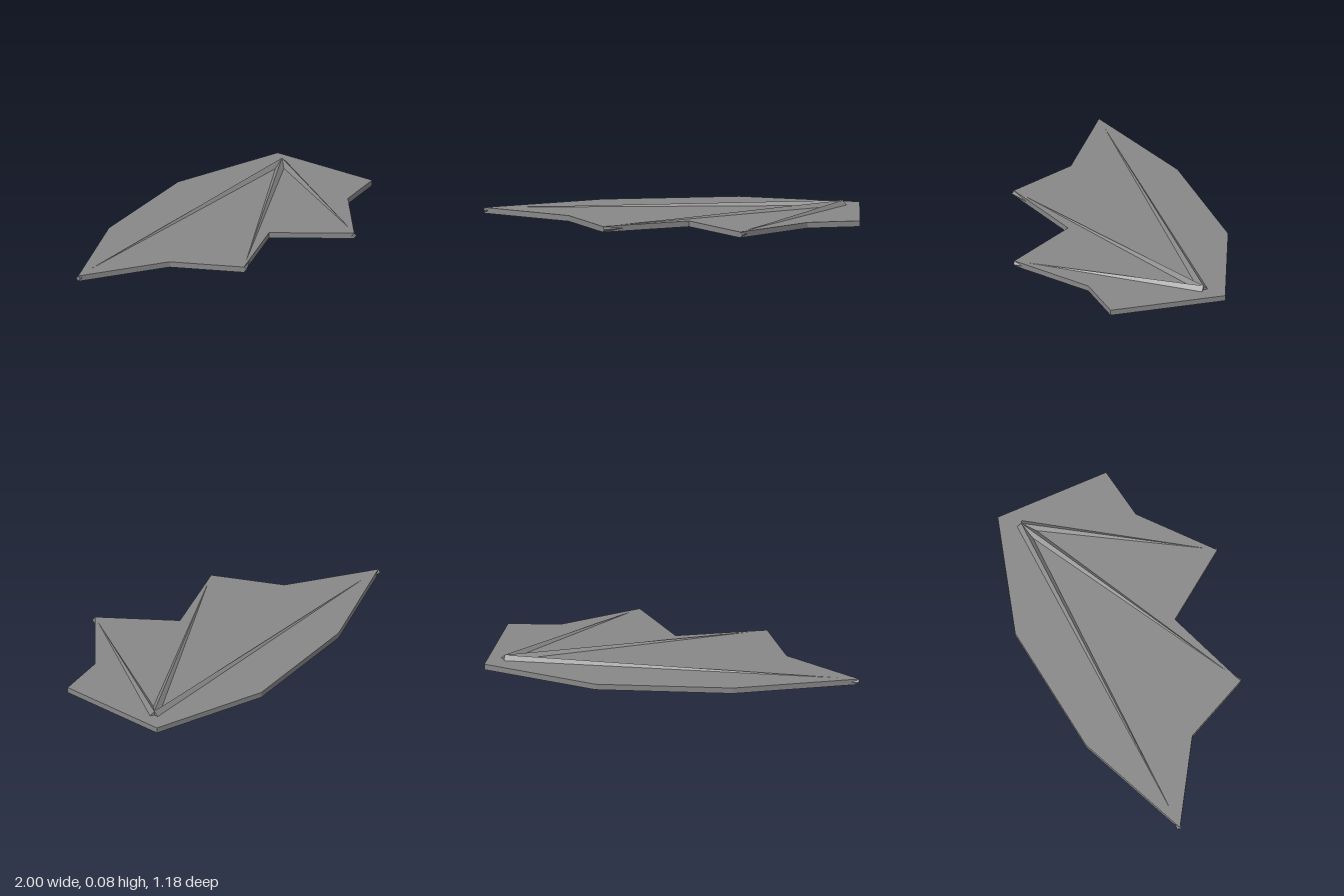
import * as THREE from 'three';

const MID = 0.0425;   // height of the wing's middle plane
const THICK = 0.031;  // membrane thickness

// Wing outline as [x, z]
const OUTLINE = [
  [-1, -0.23], [-0.37, -0.5], [0.36, -0.59], [1, -0.41], [1, 0.22],
  [0.72, 0.27], [0.36, 0.585], [0.09, 0.22], [-0.37, 0.4], [-0.55, 0.04],
];
const ROOT = [0.91, -0.313];
const TIPS = [[-1, -0.23], [-0.37, 0.4], [0.36, 0.585]];

export function createModel() {
  const group = new THREE.Group();
  group.name = 'wing';
  const grey = new THREE.MeshStandardMaterial({ color: 0x888888, flatShading: true });
  grey.name = 'wing grey';

  // Flat scalloped membrane
  const shape = new THREE.Shape(OUTLINE.map(([x, z]) => new THREE.Vector2(x, -z)));
  const plate = new THREE.ExtrudeGeometry(shape, { depth: THICK, bevelEnabled: false });
  plate.rotateX(-Math.PI / 2);
  plate.translate(0, MID - THICK / 2, 0);
  const membrane = new THREE.Mesh(plate, grey);
  membrane.name = 'membrane';
  group.add(membrane);

  // Tapered diamond-section finger bones fanning out from the wrist
  TIPS.forEach(([x, z], i) => {
    const dx = x - ROOT[0], dz = z - ROOT[1];
    const length = Math.hypot(dx, dz);
    const bone = new THREE.CylinderGeometry(0.014, 0.0395, length, 4);
    bone.translate(0, length / 2, 0);
    bone.rotateX(Math.PI / 2);
    bone.rotateY(Math.atan2(dx, dz));
    bone.translate(ROOT[0], MID, ROOT[1]);
    const mesh = new THREE.Mesh(bone, grey);
    mesh.name = `fingerBone${i + 1}`;
    group.add(mesh);
  });

  return group;
}
